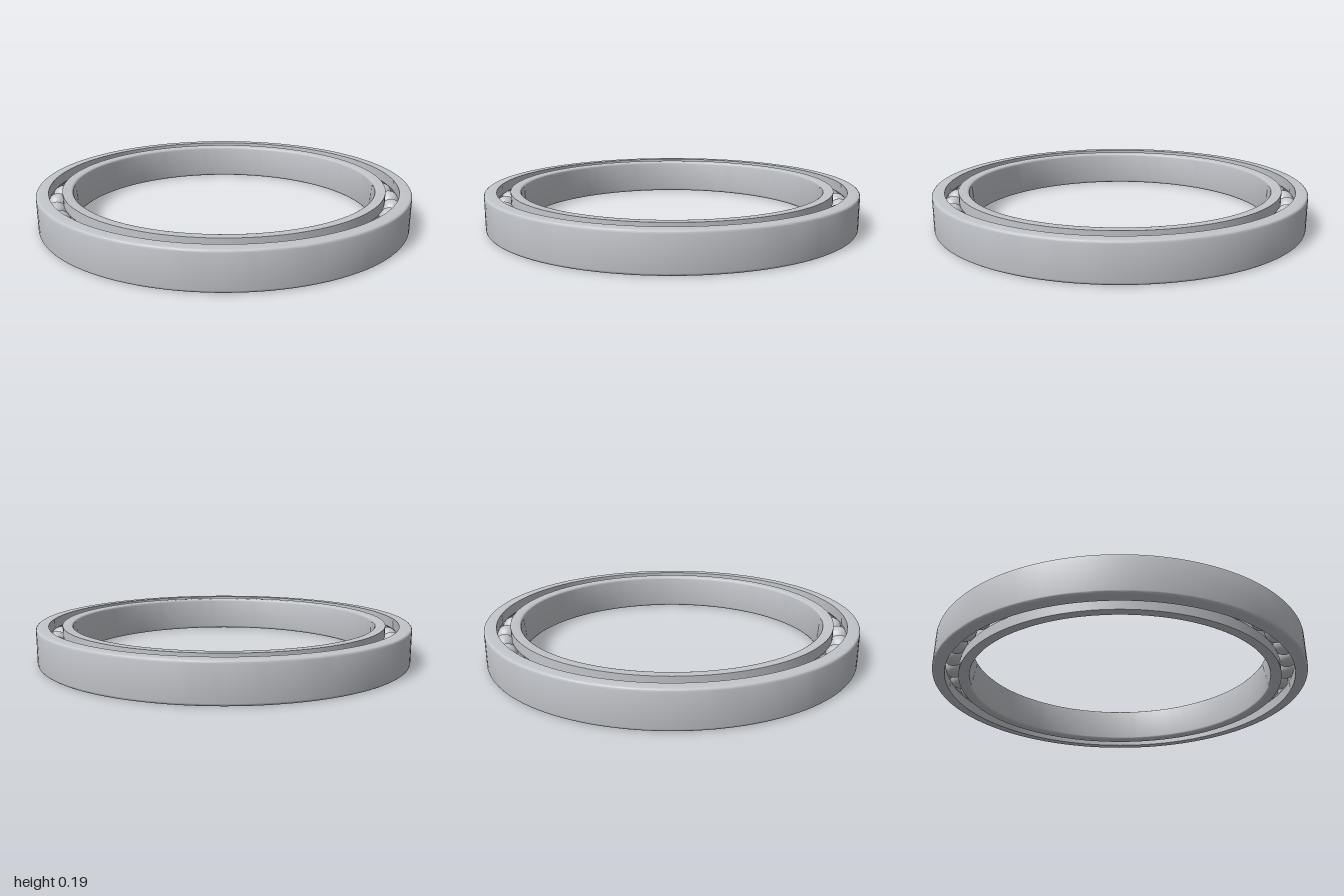
import * as THREE from 'three';
import { toCreasedNormals } from 'three/addons/utils/BufferGeometryUtils.js';

const HEIGHT = 0.195;
const PITCH = 0.901;        // radius of the circle of ball centres
const BALL_RADIUS = 0.054;
const BALL_COUNT = 38;
const FILLET = 0.013;

// Points along an arc in the (radius, height) plane
function arc(cx, cy, r, from, to, steps) {
  return Array.from({ length: steps + 1 }, (_, i) => {
    const a = from + (to - from) * i / steps;
    return new THREE.Vector2(cx + r * Math.cos(a), cy + r * Math.sin(a));
  });
}

// Closed ring: side +1 has its ball groove on the inside, -1 on the outside
function ring(name, rim, land, side, material) {
  const mid = HEIGHT / 2;
  const grooveRadius = BALL_RADIUS + 0.0005;
  const half = Math.acos(Math.abs(land - PITCH) / grooveRadius);
  const cx = rim - side * FILLET;
  const facing = side > 0 ? 0 : Math.PI;
  const points = [
    ...arc(cx, FILLET, FILLET, side > 0 ? -Math.PI / 2 : Math.PI * 1.5, facing, 4),
    ...arc(cx, HEIGHT - FILLET, FILLET, facing, Math.PI / 2, 4),
    new THREE.Vector2(land, HEIGHT),
    ...arc(PITCH, mid, grooveRadius, facing + side * half, facing - side * half, 12),
    new THREE.Vector2(land, 0),
  ];
  points.push(points[0].clone());
  if (side < 0) points.reverse(); // keep faces pointing outward
  const geometry = toCreasedNormals(new THREE.LatheGeometry(points, 128), 0.55);
  const mesh = new THREE.Mesh(geometry, material);
  mesh.name = name;
  return mesh;
}

export function createModel() {
  const model = new THREE.Group();
  model.name = 'ballBearing';
  const steel = new THREE.MeshStandardMaterial({ color: 0xc2c5ca });
  steel.name = 'steel';

  // Outer and inner races
  model.add(ring('outerRing', 1, 0.936, 1, steel));
  model.add(ring('innerRing', 0.81, 0.866, -1, steel));

  // Balls spaced evenly between the races
  const balls = new THREE.Group();
  balls.name = 'balls';
  const ballGeometry = new THREE.SphereGeometry(BALL_RADIUS, 32, 20);
  for (let i = 0; i < BALL_COUNT; i++) {
    const a = i / BALL_COUNT * Math.PI * 2;
    const ball = new THREE.Mesh(ballGeometry, steel);
    ball.name = 'ball';
    ball.position.set(PITCH * Math.cos(a), HEIGHT / 2, PITCH * Math.sin(a));
    balls.add(ball);
  }
  model.add(balls);
  return model;
}
